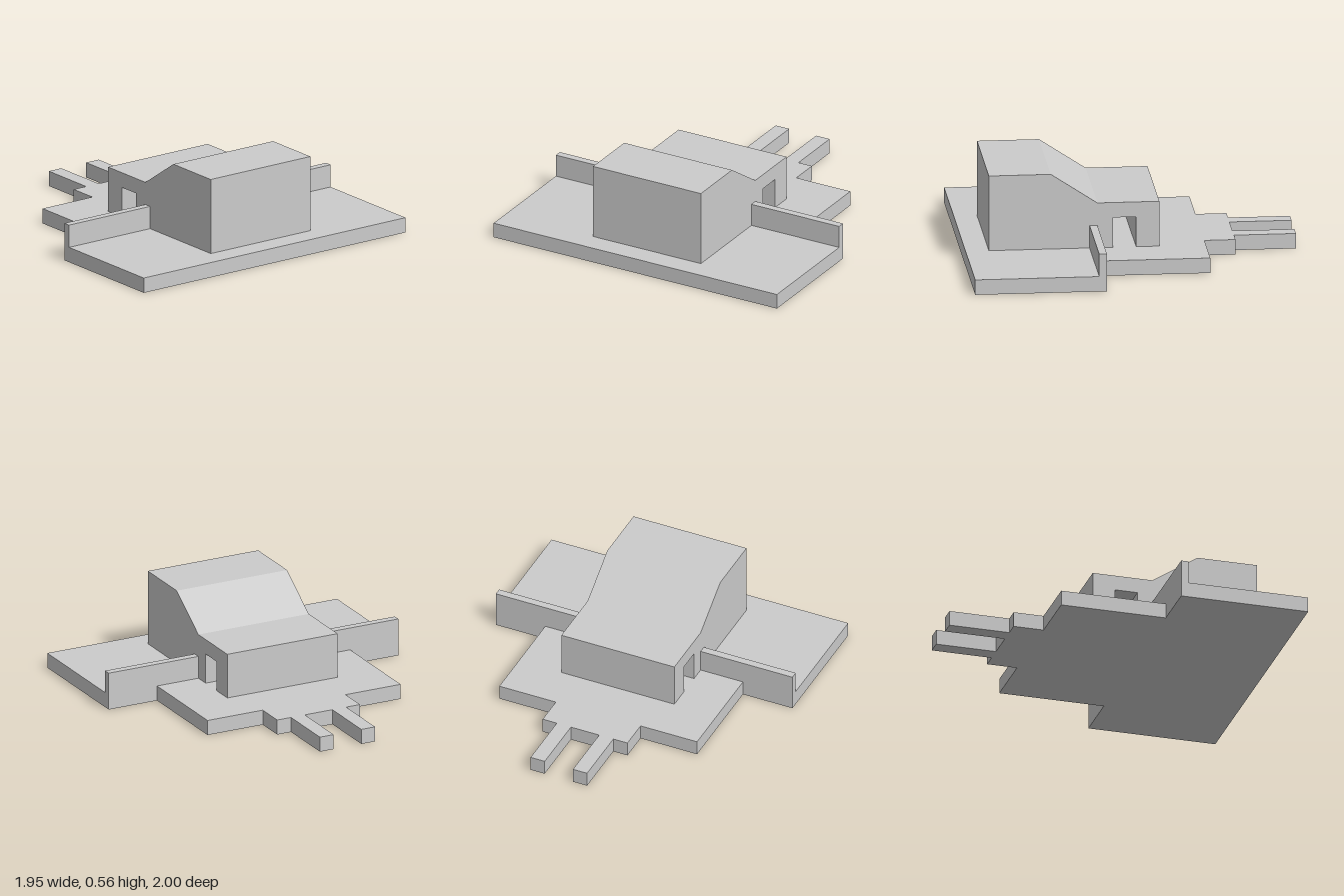
import * as THREE from 'three';

// Everything sits on a square module: the model is 43 modules long.
const U = 2 / 43;
const LENGTH = 43;

const material = new THREE.MeshStandardMaterial({ color: 0xcccccc, flatShading: true });

function addMesh(group, name, geometry) {
  const mesh = new THREE.Mesh(geometry, material);
  mesh.name = name;
  group.add(mesh);
  return mesh;
}

function extrude(points, depth) {
  const shape = new THREE.Shape(points.map(([x, y]) => new THREE.Vector2(x, y)));
  return new THREE.ExtrudeGeometry(shape, { depth, bevelEnabled: false });
}

export function createModel() {
  const model = new THREE.Group();
  model.name = 'building';

  // Stepped ground slab with two prongs at the back: [half width, distance from front]
  const half = [
    [21, 0], [21, 17], [14, 17], [14, 31], [6, 31], [6, 35],
    [4, 35], [4, 43], [2, 43], [2, 35],
  ];
  const right = half.map(([x, d]) => [x, d - LENGTH / 2]);
  const left = right.map(([x, y]) => [-x, y]).reverse();
  const slab = extrude([...right, ...left], 2);
  slab.rotateX(-Math.PI / 2);
  addMesh(model, 'groundSlab', slab);

  // House profile seen from the side, with a passage cut through the low rear part:
  // [distance from front, height]
  const profile = [
    [3, 2], [19, 2], [19, 6], [22, 6], [22, 2], [25, 2],
    [25, 8], [17, 8], [11, 12], [3, 12],
  ];
  const house = extrude(profile.map(([d, y]) => [d - LENGTH / 2, y]), 16);
  house.translate(0, 0, -8);
  house.rotateY(Math.PI / 2);
  addMesh(model, 'house', house);

  // Thin walls from the sides of the house to the slab edges
  for (const side of [1, -1]) {
    const wall = addMesh(model, side > 0 ? 'leftWall' : 'rightWall', new THREE.BoxGeometry(13, 3, 1));
    wall.position.set(side * 14.5, 3.5, LENGTH / 2 - 16.5);
  }

  model.scale.setScalar(U);
  return model;
}
